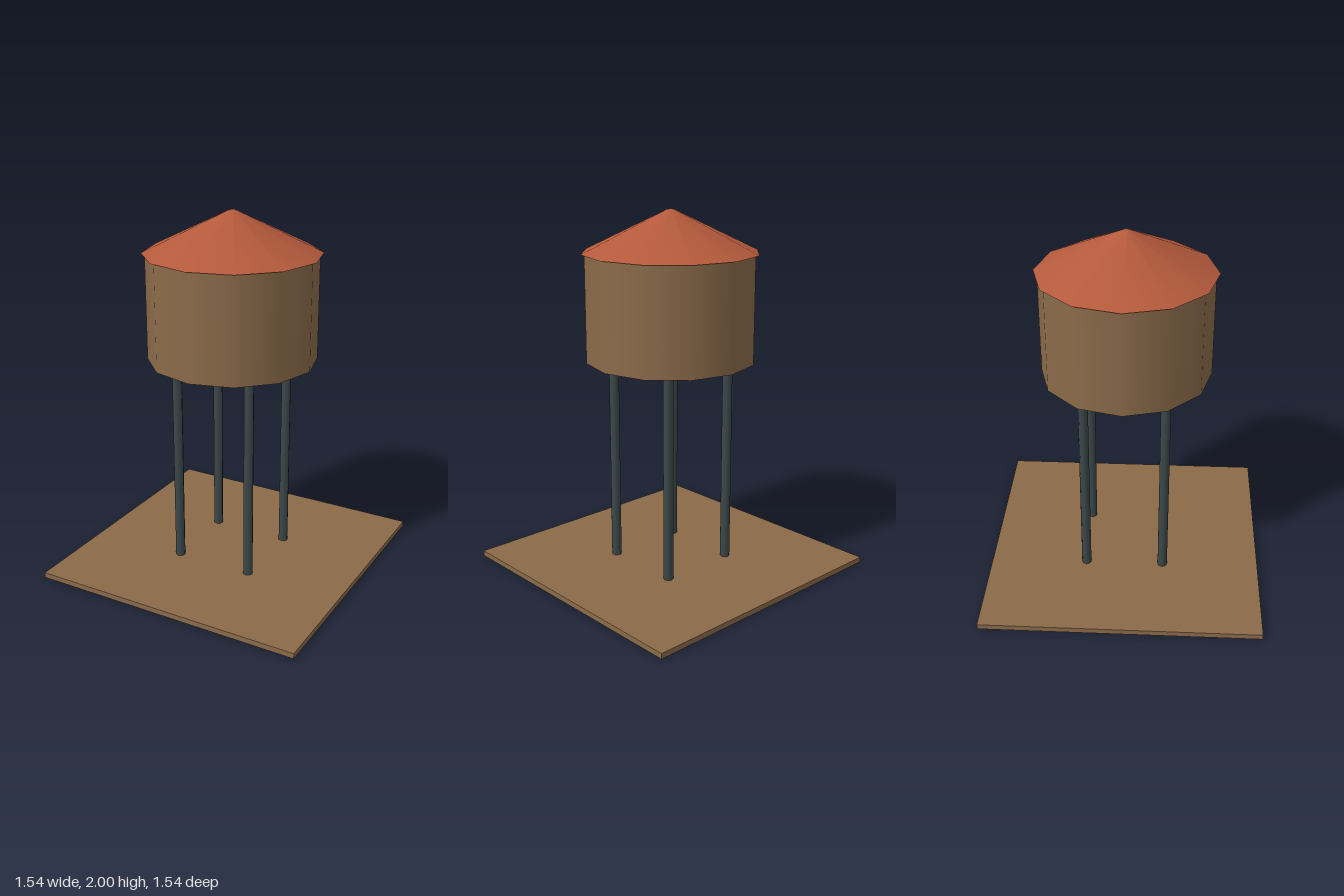
import * as THREE from 'three';

export function createModel() {
  const model = new THREE.Group();
  model.name = 'waterTower';

  const material = (name, color) => {
    const m = new THREE.MeshStandardMaterial({ color });
    m.name = name;
    return m;
  };
  const wood = material('brown wood', 0x8b6b4a);
  const roofRed = material('roof red', 0xb55a3c);
  const steel = material('dark steel', 0x3c484a);

  const add = (name, geometry, mat, x, y, z) => {
    const mesh = new THREE.Mesh(geometry, mat);
    mesh.name = name;
    mesh.position.set(x, y, z);
    model.add(mesh);
  };
  // Upright prism or cone between two heights
  const column = (name, rTop, rBottom, y0, y1, sides, mat, x = 0, z = 0) =>
    add(name, new THREE.CylinderGeometry(rTop, rBottom, y1 - y0, sides), mat, x, (y0 + y1) / 2, z);

  // Ground plate
  const baseTop = 0.03;
  add('basePlate', new THREE.BoxGeometry(1.54, baseTop, 1.54), wood, 0, baseTop / 2, 0);

  // Four legs
  const tankBottom = 1.192, tankTop = 1.775;
  for (const [side, x] of [['Left', 0.22], ['Right', -0.22]]) {
    for (const [end, z] of [['front', 0.22], ['back', -0.22]]) {
      column(`${end}${side}Leg`, 0.027, 0.027, baseTop, tankBottom, 8, steel, x, z);
    }
  }

  // Twelve-sided tank with a slightly overhanging, blunt-tipped roof
  column('tank', 0.462, 0.462, tankBottom, tankTop, 12, wood);
  column('roof', 0.019, 0.481, tankTop, 2, 12, roofRed);

  return model;
}
